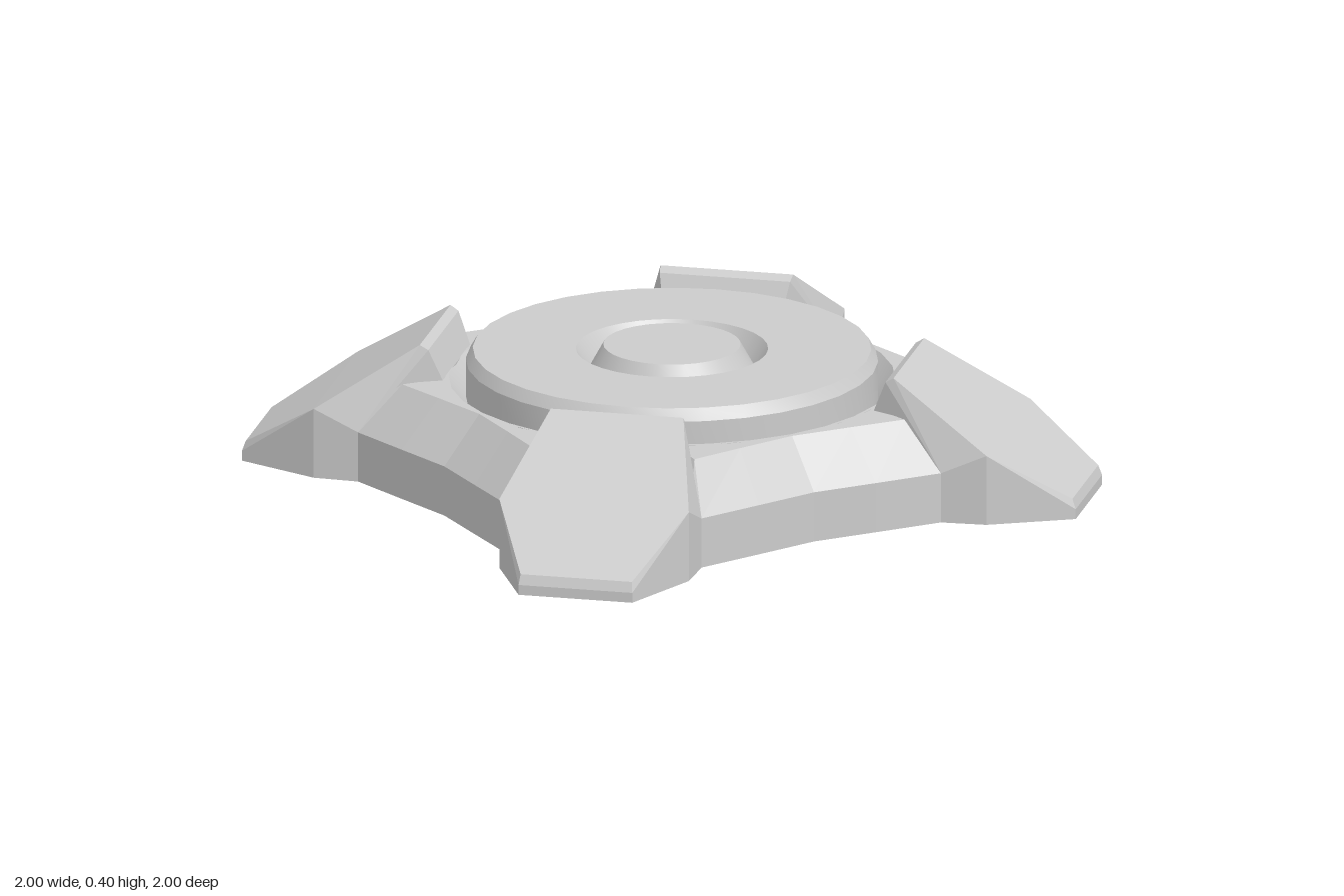
import * as THREE from 'three';
import { toCreasedNormals } from 'three/addons/utils/BufferGeometryUtils.js';
import { ConvexGeometry } from 'three/addons/geometries/ConvexGeometry.js';

const flat = new THREE.MeshStandardMaterial({ color: 0xcccccc, flatShading: true });
const smooth = new THREE.MeshStandardMaterial({ color: 0xcccccc });

function addMesh(group, name, geometry, material) {
  const mesh = new THREE.Mesh(geometry, material);
  mesh.name = name;
  group.add(mesh);
  return mesh;
}

// Closed loop from one eighth of the outline: mirror on the diagonal, then turn four times
function fullLoop(eighth) {
  const mirrored = eighth.slice(1, -1).reverse().map(([x, y, z]) => [z, y, x]);
  let quarter = [...eighth, ...mirrored];
  const loop = [];
  for (let i = 0; i < 4; i++) {
    loop.push(...quarter);
    quarter = quarter.map(([x, y, z]) => [z, y, -x]);
  }
  return loop;
}

// Skin through loops stacked from the bottom up, with a flat cap below
function loft(loops) {
  const n = loops[0].length;
  const index = [];
  for (let r = 0; r < loops.length - 1; r++) {
    for (let i = 0; i < n; i++) {
      const a = r * n + i, b = r * n + (i + 1) % n;
      index.push(a, b, b + n, a, b + n, a + n);
    }
  }
  const centre = loops.length * n;
  for (let i = 0; i < n; i++) index.push(centre, (i + 1) % n, i);
  const geometry = new THREE.BufferGeometry();
  const positions = [...loops.flat(), [0, 0, 0]].flat();
  geometry.setAttribute('position', new THREE.Float32BufferAttribute(positions, 3));
  geometry.setIndex(index);
  geometry.computeVertexNormals();
  return geometry;
}

function createBody() {
  // Upper edge of the low outer wall
  const wall = fullLoop([
    [0, 0.15, 0.78], [0.2, 0.15, 0.8], [0.41, 0.15, 0.82],
    [0.51, 0.12, 0.91], [0.76, 0.03, 1], [0.88, 0.03, 0.88],
  ]);
  // Upper edge of the sloped sides
  const shoulder = fullLoop([
    [0, 0.29, 0.66], [0.19, 0.29, 0.68], [0.36, 0.29, 0.7],
    [0.35, 0.29, 0.62], [0.33, 0.29, 0.58], [0.47, 0.29, 0.47],
  ]);
  const foot = wall.map(([x, , z]) => [x, 0, z]);
  const rim = shoulder.map(([x, y, z]) => {
    const s = 0.655 / Math.hypot(x, z);
    return [x * s, y, z * s];
  });
  return loft([foot, wall, shoulder, rim]);
}

// Armoured corner block on the +x +z diagonal
function createCornerGeometry() {
  const half = [
    [0.33, 0.1, 0.58], [0.33, 0.29, 0.58], [0.345, 0.385, 0.62], [0.36, 0.4, 0.64],
    [0.51, 0.21, 0.91], [0.755, 0.06, 0.99], [0.76, 0.03, 1], [0.76, 0.005, 1],
    [0.51, 0.005, 0.91], [0.41, 0.15, 0.82], [0.41, 0.005, 0.82],
  ];
  const points = half.flatMap(([x, y, z]) => [
    new THREE.Vector3(x, y, z), new THREE.Vector3(z, y, x),
  ]);
  return new ConvexGeometry(points);
}

function lathe(profile, sides) {
  const points = profile.map(([r, y]) => new THREE.Vector2(r, y));
  return toCreasedNormals(new THREE.LatheGeometry(points, sides), 0.45);
}

export function createModel() {
  const group = new THREE.Group();
  group.name = 'fourCornerBase';

  addMesh(group, 'body', createBody(), flat);

  // Corners
  const corner = createCornerGeometry();
  const names = ['frontLeftCorner', 'backLeftCorner', 'backRightCorner', 'frontRightCorner'];
  names.forEach((name, i) => {
    addMesh(group, name, corner, flat).rotation.y = i * Math.PI / 2;
  });

  // Round disc in its sloped channel, with a sunken ring at the middle
  addMesh(group, 'disc', lathe([
    [0.66, 0.292], [0.65, 0.292], [0.6, 0.23], [0.6, 0.345],
    [0.58, 0.38], [0.28, 0.38], [0.24, 0.32],
  ], 32), smooth);

  // Central button
  addMesh(group, 'button', lathe([[0.24, 0.32], [0.2, 0.393], [0, 0.393]], 32), smooth);

  return group;
}
